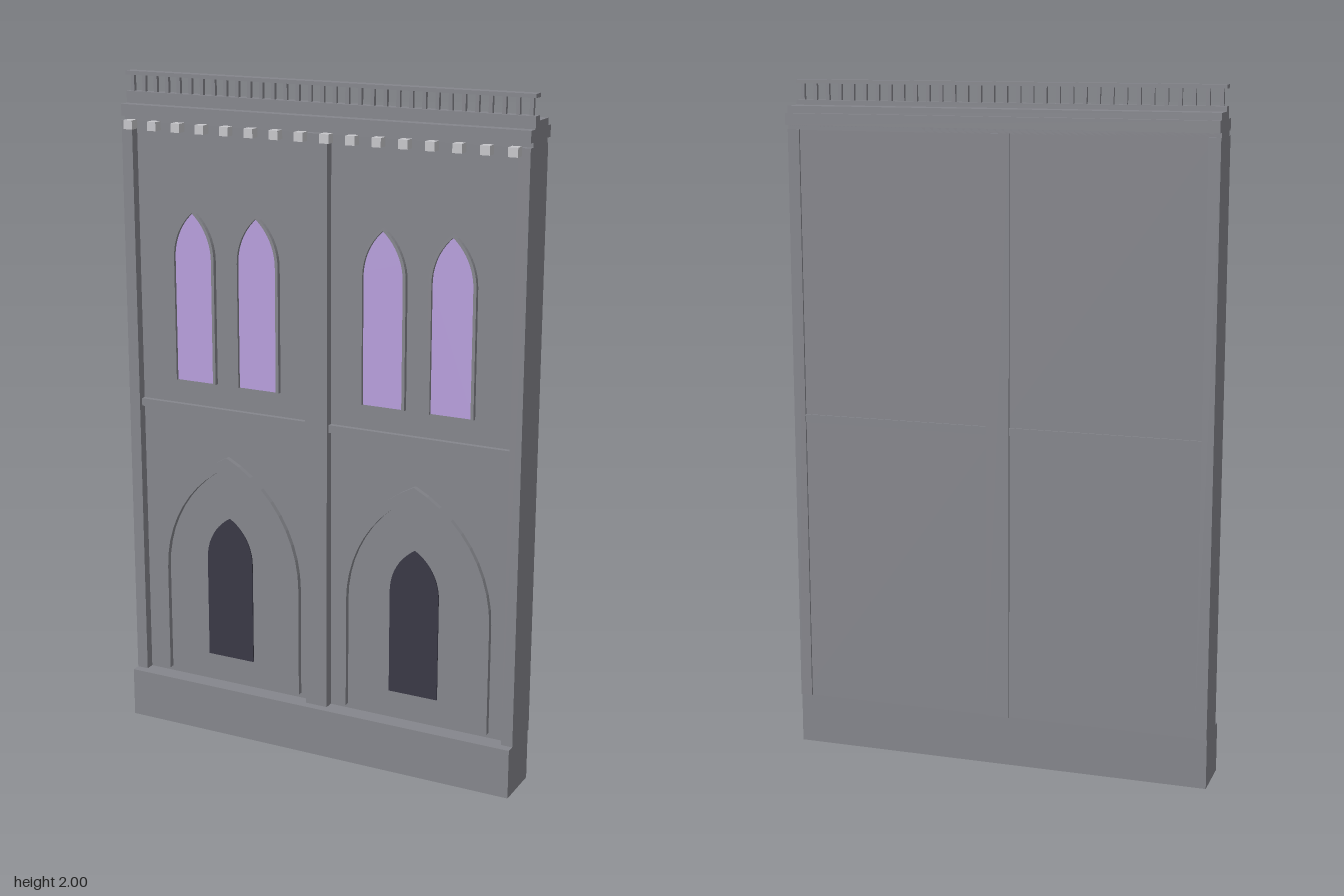
import * as THREE from 'three';

const stone = new THREE.MeshStandardMaterial({ color: 0x85868c });
stone.name = 'grey stone';
const paleStone = new THREE.MeshStandardMaterial({ color: 0xc6c6ca });
paleStone.name = 'pale stone';
const glass = new THREE.MeshStandardMaterial({ color: 0xb79fdc });
glass.name = 'lilac glass';
const dark = new THREE.MeshStandardMaterial({ color: 0x393845 });
dark.name = 'dark opening';

const WALL_FRONT = 0.03;
const WALL_BACK = -0.065;

// Points of a pointed arch from bottom left, over the apex, to bottom right
function archPoints(halfWidth, bottom, spring, apex) {
  const rise = apex - spring;
  const c = (rise * rise - halfWidth * halfWidth) / (2 * halfWidth);
  const radius = halfWidth + c;
  const end = Math.atan2(rise, c);
  const right = [new THREE.Vector2(halfWidth, bottom)];
  const steps = 10;
  for (let i = 0; i <= steps; i++) {
    const a = (end * i) / steps;
    right.push(new THREE.Vector2(radius * Math.cos(a) - c, spring + radius * Math.sin(a)));
  }
  right[right.length - 1].x = 0;
  const left = right.slice(0, -1).map((p) => new THREE.Vector2(-p.x, p.y));
  return [...left, ...right.reverse()];
}

function extrude(points, depth) {
  return new THREE.ExtrudeGeometry(new THREE.Shape(points), { depth, bevelEnabled: false });
}

// Filled arch plate
function archPlate(halfWidth, bottom, spring, apex, depth) {
  return extrude(archPoints(halfWidth, bottom, spring, apex), depth);
}

// Arch moulding, open at the bottom
function archBand(halfWidth, band, bottom, spring, apex, depth) {
  const outer = archPoints(halfWidth, bottom, spring, apex);
  const inner = archPoints(halfWidth - band, bottom, spring, apex - band * 1.1);
  return extrude([...outer, ...inner.reverse()], depth);
}

export function createModel() {
  const model = new THREE.Group();
  model.name = 'gothicFacade';

  function add(name, geometry, material, x = 0, y = 0, z = 0) {
    const mesh = new THREE.Mesh(geometry, material);
    mesh.name = name;
    mesh.position.set(x, y, z);
    model.add(mesh);
  }

  // Box given by its limits on each axis
  function block(name, x0, x1, y0, y1, z0, z1, material = stone) {
    add(name, new THREE.BoxGeometry(x1 - x0, y1 - y0, z1 - z0), material,
      (x0 + x1) / 2, (y0 + y1) / 2, (z0 + z1) / 2);
  }

  // Plinth and wall
  block('plinth', -0.63, 0.63, 0, 0.15, WALL_BACK, 0.083);
  block('wall', -0.625, 0.625, 0.15, 1.875, WALL_BACK, WALL_FRONT);

  // Pilasters
  block('rightPilaster', -0.63, -0.595, 0.15, 1.862, -0.071, 0.057);
  block('centrePilaster', -0.035, 0.035, 0.15, 1.862, -0.071, 0.057);
  block('leftPilaster', 0.595, 0.63, 0.15, 1.862, -0.071, 0.057);

  // Bays: string course, portal arch, doorway, paired windows
  const portal = archBand(0.24, 0.028, 0.165, 0.5, 0.88, 0.016);
  const doorway = archPlate(0.077, 0.235, 0.55, 0.685, 0.004);
  const frame = archBand(0.071, 0.009, 1.1, 1.47, 1.615, 0.013);
  const pane = archPlate(0.064, 1.1, 1.47, 1.606, 0.004);
  for (const side of [-1, 1]) {
    const cx = side * 0.305;
    block('stringCourse', cx - 0.29, cx + 0.29, 1.005, 1.028, -0.07, 0.045);
    add('portalArch', portal, stone, cx, 0, WALL_FRONT);
    add('doorway', doorway, dark, cx, 0, WALL_FRONT);
    for (const offset of [-0.105, 0.105]) {
      add('windowFrame', frame, stone, cx + offset, 0, WALL_FRONT);
      add('windowPane', pane, glass, cx + offset, 0, WALL_FRONT);
    }
  }

  // Cornice layers
  block('corniceNeck', -0.63, 0.63, 1.86, 1.876, WALL_BACK, 0.038);
  block('cornice', -0.63, 0.63, 1.875, 1.908, -0.087, 0.057);
  block('corniceStep', -0.63, 0.63, 1.908, 1.928, -0.068, 0.026);
  block('balustradeKerb', -0.63, 0.63, 1.928, 1.942, -0.004, 0.026);

  // Row of small corbels
  const corbel = new THREE.BoxGeometry(0.028, 0.026, 0.029);
  for (let i = 0; i < 16; i++) {
    add('corbel', corbel, paleStone, -0.592 + i * 0.0789, 1.853, 0.0695);
  }

  // Balustrade
  const baluster = new THREE.BoxGeometry(0.011, 0.05, 0.011);
  const count = 33;
  for (let i = 0; i < count; i++) {
    add('baluster', baluster, stone, -0.614 + (1.228 * i) / (count - 1), 1.966, 0.012);
  }
  block('handrail', -0.63, 0.63, 1.989, 2, -0.004, 0.028);

  return model;
}
